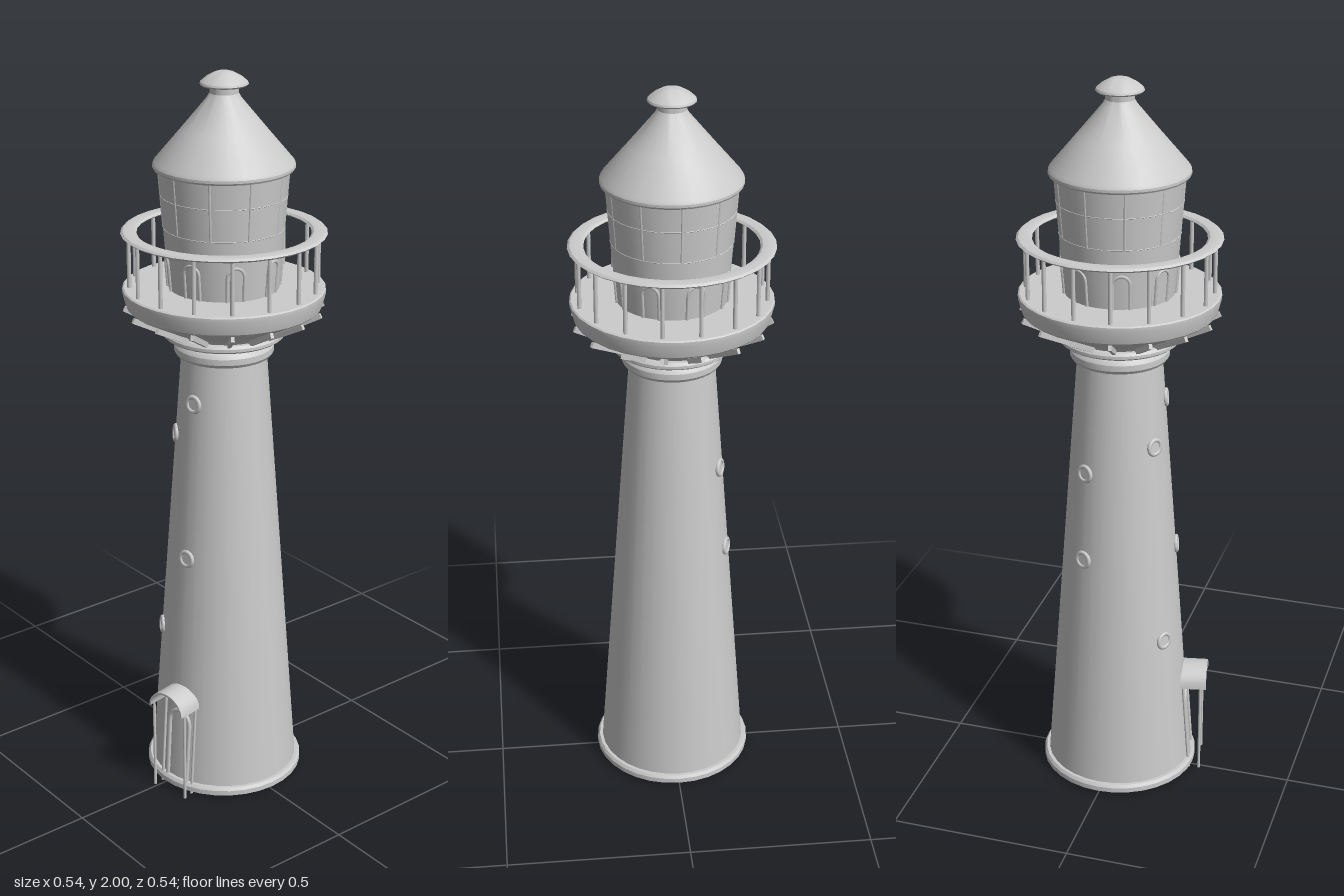
import * as THREE from 'three';
import { toCreasedNormals } from 'three/addons/utils/BufferGeometryUtils.js';

const mat = new THREE.MeshStandardMaterial({ color: 0xcccccc, side: THREE.DoubleSide });
const DEG = Math.PI / 180;

function add(parent, name, geometry) {
  const mesh = new THREE.Mesh(geometry, mat);
  mesh.name = name;
  parent.add(mesh);
  return mesh;
}

// Turned part from [radius, height] pairs, bottom to top
function turned(parent, name, profile, segments = 32) {
  const points = profile.map(([r, y]) => new THREE.Vector2(r, y));
  return add(parent, name, toCreasedNormals(new THREE.LatheGeometry(points, segments), 0.45));
}

// Group on the tower axis whose local +z points outward at angle a (from +x towards +z)
function facing(parent, name, a) {
  const g = new THREE.Group();
  g.name = name;
  g.rotation.y = Math.PI / 2 - a * DEG;
  parent.add(g);
  return g;
}

// Straight round bar between two points
function bar(parent, name, from, to, radius) {
  const a = new THREE.Vector3(...from), b = new THREE.Vector3(...to);
  const m = add(parent, name, new THREE.CylinderGeometry(radius, radius, a.distanceTo(b), 8));
  m.position.copy(a).add(b).multiplyScalar(0.5);
  m.quaternion.setFromUnitVectors(new THREE.Vector3(0, 1, 0), b.sub(a).normalize());
  return m;
}

// Round-headed frame standing on y = 0 in the xy plane
function archFrame(halfWidth, height, tube) {
  const pts = [];
  const spring = height - halfWidth;
  for (let i = 0; i < 4; i++) pts.push(new THREE.Vector3(halfWidth, spring * i / 4, 0));
  for (let i = 0; i <= 8; i++) {
    const t = Math.PI * i / 8;
    pts.push(new THREE.Vector3(halfWidth * Math.cos(t), spring + halfWidth * Math.sin(t), 0));
  }
  for (let i = 3; i >= 0; i--) pts.push(new THREE.Vector3(-halfWidth, spring * i / 4, 0));
  return new THREE.TubeGeometry(new THREE.CatmullRomCurve3(pts), 32, tube, 6);
}

const towerRadius = y => 0.207 - 0.074 * y;

export function createModel() {
  const model = new THREE.Group();
  model.name = 'lighthouse';

  // Tapered shaft, open underneath
  turned(model, 'baseFlange', [[0.205, 0.01], [0.219, 0.01], [0.219, 0.024], [0.213, 0.032], [0.203, 0.032]]);
  turned(model, 'towerShaft', [[0.206, 0.01], [0.114, 1.255]]);
  turned(model, 'collar', [[0.114, 1.25], [0.126, 1.253], [0.132, 1.262], [0.132, 1.278],
    [0.126, 1.288], [0.12, 1.292], [0.12, 1.305]]);
  turned(model, 'collarFlange', [[0.12, 1.303], [0.154, 1.303], [0.16, 1.308], [0.16, 1.316], [0.154, 1.323], [0.14, 1.323]]);

  // Gallery: flared underside, rim and deck
  turned(model, 'gallery', [[0.14, 1.32], [0.15, 1.333], [0.25, 1.384], [0.257, 1.39], [0.266, 1.425],
    [0.266, 1.436], [0.262, 1.439], [0.14, 1.439]]);
  for (let i = 0; i < 16; i++) {
    const bay = facing(model, 'galleryBay', 11.25 + 22.5 * i);
    bar(bay, 'railingPost', [0, 1.436, 0.247], [0, 1.583, 0.247], 0.0055);
    const rib = add(bay, 'galleryRib', new THREE.BoxGeometry(0.009, 0.014, 0.135));
    rib.position.set(0, 1.351, 0.202);
    rib.rotation.x = -0.47;
  }
  turned(model, 'handrail', [[0.247, 1.579], [0.262, 1.58], [0.268, 1.585], [0.262, 1.59], [0.247, 1.592],
    [0.232, 1.59], [0.226, 1.585], [0.232, 1.58], [0.247, 1.579]]);

  // Lantern room, widening upward
  turned(model, 'lanternWall', [[0.145, 1.436], [0.17, 1.757]]);
  for (const y of [1.6, 1.685]) {
    const r = 0.145 + 0.078 * (y - 1.436);
    turned(model, 'lanternBand', [[r - 0.002, y - 0.003], [r + 0.001, y], [r - 0.002, y + 0.003]]);
  }
  for (let i = 0; i < 10; i++) {
    const bay = facing(model, 'lanternMullion', 69 + 36 * i);
    bar(bay, 'mullion', [0, 1.6, 0.156], [0, 1.755, 0.168], 0.0035);
  }
  for (let i = 0; i < 8; i++) {
    const bay = facing(model, 'lanternArch', 72 + 45 * i);
    const arch = add(bay, 'archFrame', archFrame(0.022, 0.092, 0.0045));
    arch.position.set(0, 1.438, 0.144);
    arch.rotation.x = 0.078;
  }

  // Conical roof and vent cap
  turned(model, 'roof', [[0.165, 1.752], [0.18, 1.752], [0.183, 1.757], [0.183, 1.764], [0.179, 1.772],
    [0.11, 1.853], [0.044, 1.932], [0.037, 1.944], [0.037, 1.968]]);
  turned(model, 'roofCap', [[0.035, 1.958], [0.058, 1.963], [0.062, 1.967], [0.06, 1.972], [0.046, 1.984],
    [0.026, 1.995], [0.012, 1.999], [0, 2]]);

  // Round windows: [angle, height]
  for (const [a, y] of [[169, 1.14], [209, 1.03], [296, 0.955], [293, 0.705], [169, 0.7], [209, 0.453]]) {
    const side = facing(model, 'roundWindow', a);
    const pivot = new THREE.Group();
    pivot.position.set(0, y, towerRadius(y) + 0.001);
    pivot.rotation.x = -0.074;
    side.add(pivot);
    add(pivot, 'windowFrame', new THREE.TorusGeometry(0.02, 0.006, 8, 20));
    add(pivot, 'windowPane', new THREE.CircleGeometry(0.018, 20)).position.z = 0.002;
  }

  // Entrance porch with arched canopy
  const porch = facing(model, 'porch', 169);
  const shape = new THREE.Shape();
  const arc = (w, h, i) => {
    const t = Math.PI * i / 12;
    return [w * Math.cos(t), 0.265 + h * Math.sin(t)];
  };
  shape.moveTo(...arc(0.06, 0.055, 0));
  for (let i = 1; i <= 12; i++) shape.lineTo(...arc(0.06, 0.055, i));
  for (let i = 12; i >= 0; i--) shape.lineTo(...arc(0.055, 0.049, i));
  const canopy = new THREE.ExtrudeGeometry(shape, { depth: 0.085, bevelEnabled: false });
  add(porch, 'canopy', toCreasedNormals(canopy, 0.6)).position.z = 0.165;
  for (const s of [-1, 1]) {
    bar(porch, 'porchPost', [s * 0.056, 0, 0.234], [s * 0.056, 0.27, 0.234], 0.004);
    bar(porch, 'wallPost', [s * 0.054, 0, 0.205], [s * 0.054, 0.27, 0.185], 0.004);
  }
  const door = add(porch, 'doorFrame', archFrame(0.035, 0.23, 0.006));
  door.position.set(0, 0.012, 0.205);
  door.rotation.x = -0.074;

  return model;
}
